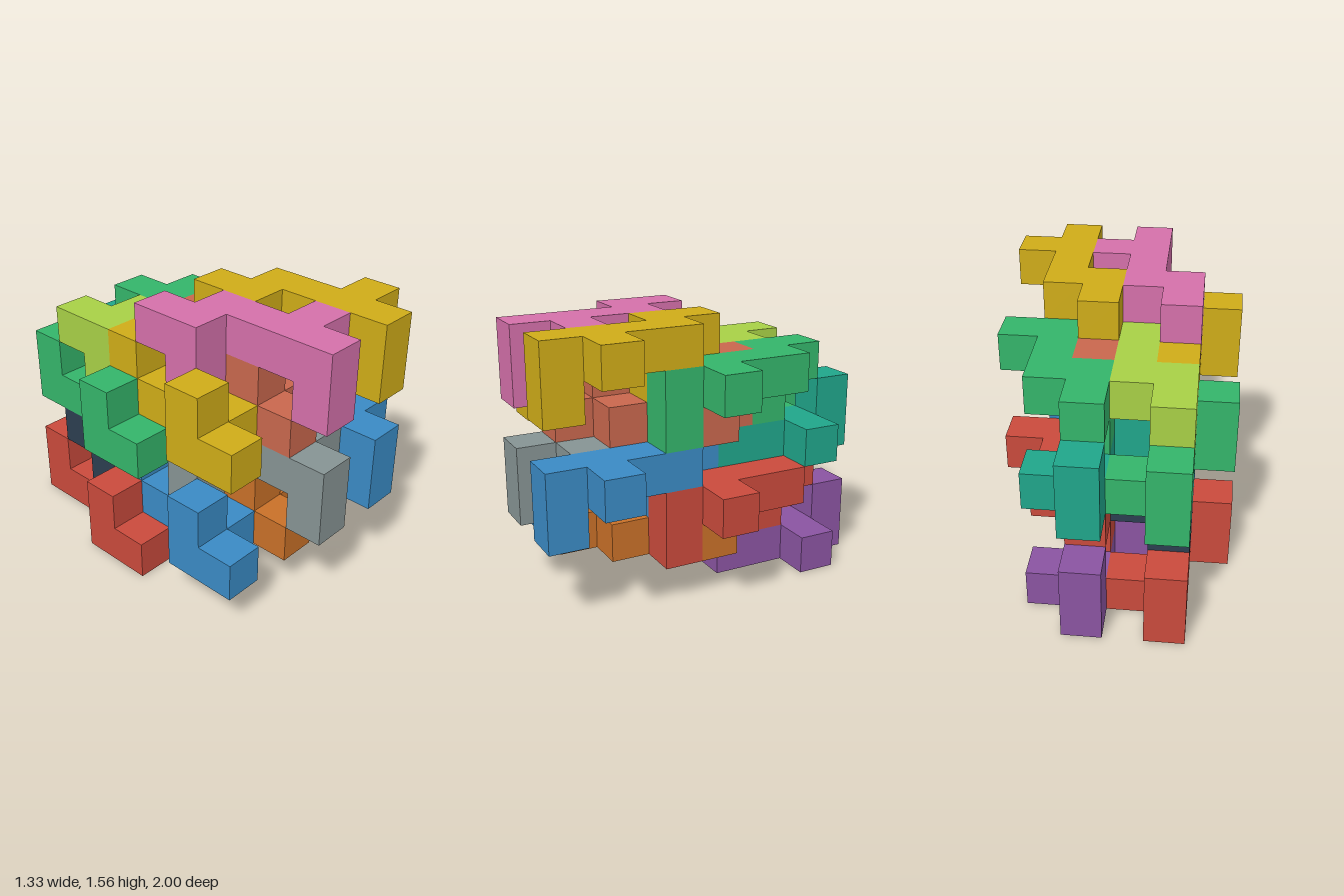
import * as THREE from 'three';
import { mergeGeometries } from 'three/addons/utils/BufferGeometryUtils.js';

const U = 2 / 9; // edge of one cube cell

// One interlocking piece: a zigzag slab with a side arm and two prongs below
const CELLS = [
  [0, 0, 0], [0, 0, 1],
  [1, 0, 1], [1, 0, 2], [1, 0, 3], [1, 0, 4],
  [2, 0, 3],
  [1, -1, 4], [0, -1, 1],
];
const DIRECTIONS = [[1, 0, 0], [-1, 0, 0], [0, 1, 0], [0, -1, 0], [0, 0, 1], [0, 0, -1]];

// Outer skin of the piece: a square wherever a cell has no neighbour
function pieceGeometry() {
  const filled = new Set(CELLS.map(String));
  const front = new THREE.Vector3(0, 0, 1);
  const faces = [];
  for (const cell of CELLS) {
    for (const dir of DIRECTIONS) {
      if (filled.has(String(cell.map((c, i) => c + dir[i])))) continue;
      const turn = new THREE.Quaternion().setFromUnitVectors(front, new THREE.Vector3(...dir));
      faces.push(new THREE.PlaneGeometry(1, 1)
        .translate(0, 0, 0.5)
        .applyQuaternion(turn)
        .translate(...cell));
    }
  }
  return mergeGeometries(faces).scale(U, U, U);
}

// The four pairs of one tier: first cell of the right-hand piece, and whether
// it is turned over; its partner sits two cells along -x
const PAIRS = [
  { name: 'frontUpright', at: [3, 3, 4], flipped: false },
  { name: 'backUpright', at: [3, 2, 1], flipped: false },
  { name: 'frontInverted', at: [2, 1, 7], flipped: true },
  { name: 'backInverted', at: [2, 0, 4], flipped: true },
];

// Colours per tier and pair: [left piece, right piece]
const TIERS = [
  { name: 'lower', colors: [[0x3a8ac4, 0x869393], [0xc94a3c, 0x2c3e50], [0xc87028, 0x3a8ac4], [0x8a54a1, 0xc94a3c]] },
  { name: 'upper', colors: [[0xcfac18, 0xd470aa], [0x34b46a, 0xa8d046], [0xc8674d, 0xcfac18], [0x20a58a, 0x34b46a]] },
];

export function createModel() {
  const model = new THREE.Group();
  model.name = 'interlockingBlocks';
  const geometry = pieceGeometry();

  TIERS.forEach((tier, t) => {
    const group = new THREE.Group();
    group.name = tier.name + 'Tier';
    group.position.y = 3 * U * t;
    PAIRS.forEach(({ name, at, flipped }, p) => {
      ['Left', 'Right'].forEach((side, s) => {
        const material = new THREE.MeshStandardMaterial({ color: tier.colors[p][s] });
        const piece = new THREE.Mesh(geometry, material);
        piece.name = name + side + 'Piece';
        piece.position.set((at[0] - 2 * s - 2.5) * U, (at[1] + 0.5) * U, (at[2] - 4) * U);
        if (flipped) piece.rotation.x = Math.PI;
        group.add(piece);
      });
    });
    model.add(group);
  });
  return model;
}
